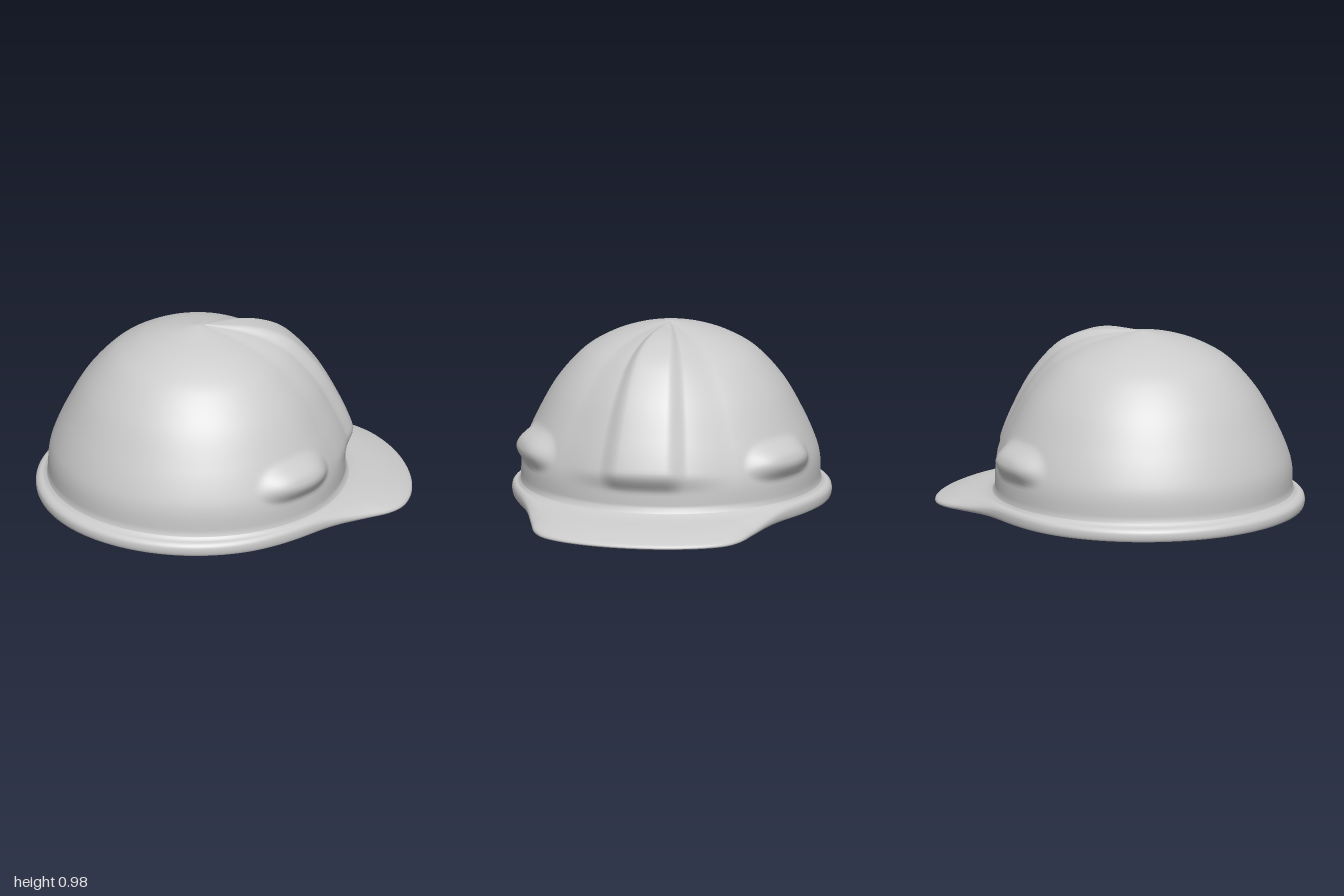
import * as THREE from 'three';

const { smoothstep, lerp, degToRad } = THREE.MathUtils;
const CX = -0.14; // dome axis
const pts = (a) => new THREE.SplineCurve(a.map(([x, y]) => new THREE.Vector2(x, y)));

// Dome section: radius, height
const DOME = pts([[0, 0.984], [0.11, 0.963], [0.24, 0.93], [0.36, 0.88], [0.48, 0.8], [0.61, 0.65],
  [0.71, 0.47], [0.77, 0.33], [0.792, 0.24], [0.795, 0.14]]);

// Rim outline: angle from the peak in degrees, radius
const OUTLINE = pts([[0, 1.14], [7, 1.14], [14, 1.138], [21, 1.13], [27, 1.107], [32, 1.06], [38.3, 0.975],
  [46.8, 0.895], [56.5, 0.851], [70, 0.838], [90, 0.85], [110, 0.856], [130, 0.858], [155, 0.86], [180, 0.86]]);

// Rim sections (fraction from wall to outline, height): rolled edge, and thin peak
const ROLL = pts([[0.08, 0.122], [0.35, 0.107], [0.7, 0.099], [0.94, 0.083], [1, 0.061], [0.94, 0.04], [0.78, 0.031],
  [0.3, 0.033]]);
const PEAK = pts([[0.04, 0.118], [0.2, 0.097], [0.6, 0.069], [0.93, 0.033], [1, 0.013], [0.96, 0.002], [0.8, 0],
  [0.4, 0.007], [0.1, 0.019]]);

// Shallow hollow beneath (radius, height): behind, and running out under the peak
const HOLLOW_BACK = pts([[0.77, 0.043], [0.72, 0.07], [0.66, 0.115], [0.55, 0.175], [0.4, 0.235], [0.2, 0.28], [0, 0.295]]);
const HOLLOW_PEAK = pts([[0.75, 0.031], [0.69, 0.052], [0.62, 0.09], [0.52, 0.148], [0.38, 0.22], [0.2, 0.275], [0, 0.295]]);

const DOME_STEPS = 76, RIM_STEPS = 40, HOLLOW_STEPS = 36;

// Raised centre ridge, widening from the crown to the front, with soft flanks
function ridge(r, y, angle) {
  const x = CX + r * Math.cos(angle), z = Math.abs(r * Math.sin(angle));
  if (x < -0.1) return 0;
  const w = 0.19 * Math.pow((x + 0.1) / 0.77, 0.8) + 0.001;
  const crest = 0.035 * (1 - smoothstep(z, w * 0.65, w * 1.35));
  const flank = 0.035 * (1 - smoothstep(z, w * 0.4, w * 3.2));
  return (crest + flank) * smoothstep(r, -0.05, 0.5) * smoothstep(y, 0.22, 0.315);
}

// Long oval bump on each side
function sideBump(y, deg) {
  const along = Math.pow(Math.abs(deg - 62) / 20, 1.5), up = (y - 0.325) / (y < 0.325 ? 0.085 : 0.13);
  return 0.062 * (1 - smoothstep(Math.hypot(along, up), 0.12, 1.05));
}

// One section through the helmet: crown, rim, then the hollow back to the axis
function section(deg, edge) {
  const angle = degToRad(deg), out = [];
  const peak = 1 - smoothstep(deg, 25, 60);
  const slim = 1 - 0.014 * peak, wall = 0.795 * slim;
  for (let i = 0; i <= DOME_STEPS; i++) {
    const t = i / DOME_STEPS, p = DOME.getPointAt(t), g = DOME.getTangentAt(t);
    const h = ridge(p.x, p.y, angle) + sideBump(p.y, deg);
    out.push([p.x * slim - g.y * h, p.y + g.x * h]);
  }
  for (let i = 0; i <= RIM_STEPS; i++) {
    const a = ROLL.getPoint(i / RIM_STEPS), b = PEAK.getPoint(i / RIM_STEPS);
    out.push([wall + (edge - wall) * lerp(a.x, b.x, peak), lerp(a.y, b.y, peak)]);
  }
  for (let i = 0; i <= HOLLOW_STEPS; i++) {
    const p = HOLLOW_BACK.getPoint(i / HOLLOW_STEPS).lerp(HOLLOW_PEAK.getPoint(i / HOLLOW_STEPS), peak);
    out.push([p.x, p.y]);
  }
  return out;
}

function shellGeometry() {
  const half = OUTLINE.getPoints(168);
  const columns = half.map((p) => ({ sign: 1, p }));
  for (let i = half.length - 2; i > 0; i--) columns.push({ sign: -1, p: half[i] });
  const n = columns.length, sections = columns.map(({ p }) => section(p.x, p.y));
  const rings = sections[0].length, position = [], index = [];
  for (let i = 0; i < rings; i++) {
    columns.forEach(({ sign, p }, j) => {
      const a = degToRad(p.x), [r, y] = sections[j][i];
      position.push(CX + r * Math.cos(a), y, sign * r * Math.sin(a));
    });
  }
  // The first and last rings each close to a single point
  const id = (i, j) => (i === 0 || i === rings - 1 ? i * n : i * n + (j % n));
  for (let i = 0; i < rings - 1; i++) {
    for (let j = 0; j < n; j++) {
      const a = id(i, j), b = id(i, j + 1), c = id(i + 1, j), d = id(i + 1, j + 1);
      if (a !== b) index.push(a, b, c);
      if (c !== d) index.push(b, d, c);
    }
  }
  const geometry = new THREE.BufferGeometry();
  geometry.setAttribute('position', new THREE.Float32BufferAttribute(position, 3));
  geometry.setIndex(index);
  geometry.computeVertexNormals();
  return geometry;
}

export function createModel() {
  const group = new THREE.Group();
  group.name = 'hardHat';
  const shell = new THREE.Mesh(shellGeometry(), new THREE.MeshStandardMaterial({ color: 0xcccccc }));
  shell.name = 'helmetShell';
  group.add(shell);
  return group;
}
